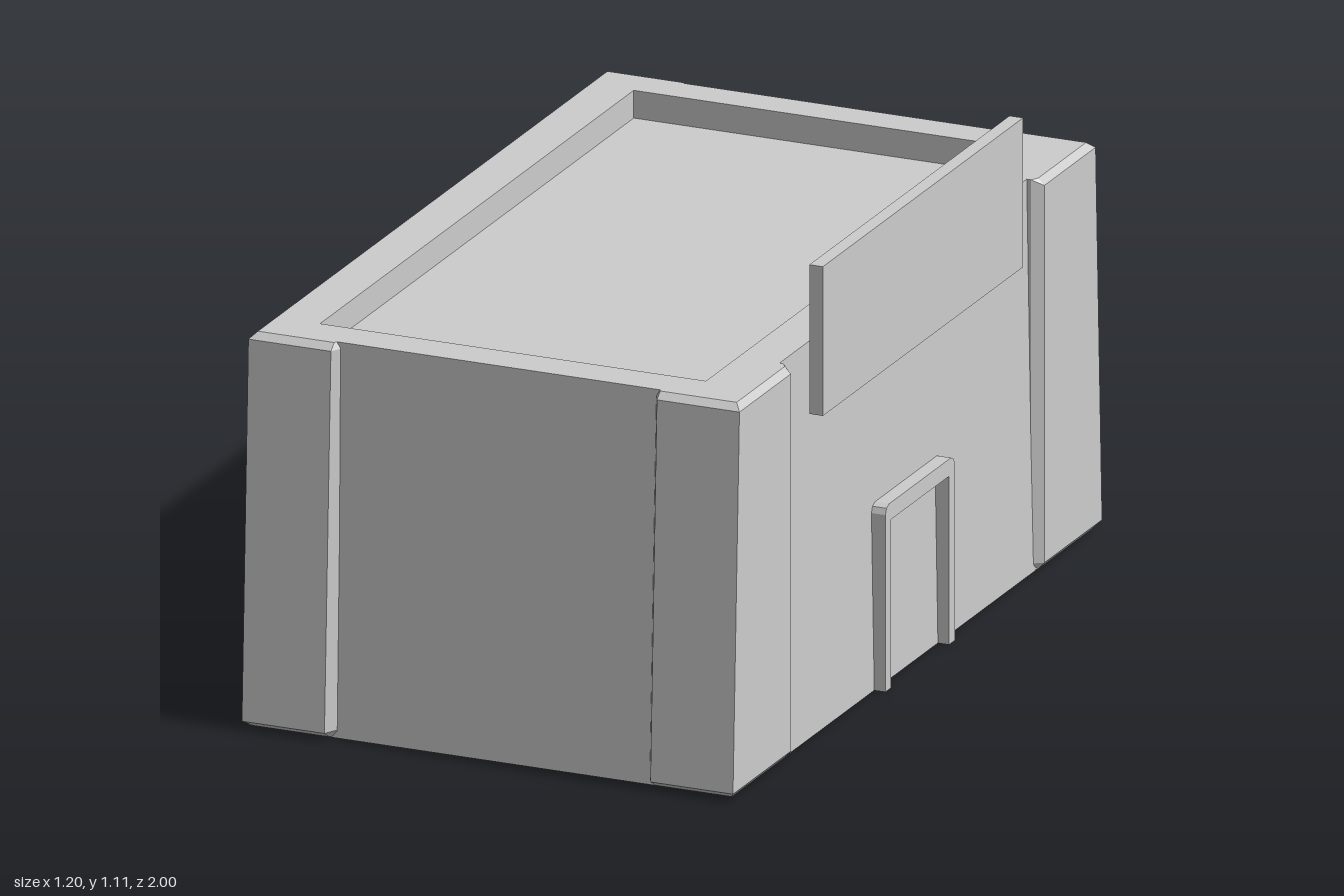
import * as THREE from 'three';

// Joins rings of [x, y, z] points into a flat-shaded solid, capped at both ends.
function loft(rings, flip = false) {
  const pos = [];
  const tri = (a, b, c) => pos.push(...a, ...(flip ? c : b), ...(flip ? b : c));
  const n = rings[0].length;
  for (let r = 0; r < rings.length - 1; r++) {
    for (let i = 0; i < n; i++) {
      const j = (i + 1) % n, lo = rings[r], up = rings[r + 1];
      tri(lo[i], lo[j], up[j]);
      tri(lo[i], up[j], up[i]);
    }
  }
  const first = rings[0], last = rings[rings.length - 1];
  for (let i = 1; i < n - 1; i++) {
    tri(first[0], first[i + 1], first[i]);
    tri(last[0], last[i], last[i + 1]);
  }
  const g = new THREE.BufferGeometry();
  g.setAttribute('position', new THREE.Float32BufferAttribute(pos, 3));
  g.computeVertexNormals();
  return g;
}

const rect = (y, x0, x1, z0, z1) => [[x1, y, z1], [x1, y, z0], [x0, y, z0], [x0, y, z1]];

// One L-shaped corner pier, with bevelled ends, leaning inward on the short sides.
function pierGeometry(sx, sz) {
  const ring = (y, zo, inset) => {
    const xo = 0.595 - inset;
    return [
      [0.535, 0.9], [0.38, 0.9], [0.38, zo - 0.03], [0.395, zo],
      [xo, zo], [xo, 0.687], [0.57, 0.67], [0.535, 0.67],
    ].map(([x, z]) => [-0.005 + sx * x, y, sz * z]);
  };
  return loft([
    ring(0.003, 0.972, 0.015), ring(0.02, 1.0, 0),
    ring(0.905, 0.965, 0), ring(0.92, 0.947, 0.015),
  ], sx * sz < 0);
}

export function createModel() {
  const group = new THREE.Group();
  const plaster = new THREE.MeshStandardMaterial({ color: 0xcccccc });
  plaster.name = 'plaster grey';
  const add = (name, geometry) => {
    const mesh = new THREE.Mesh(geometry, plaster);
    mesh.name = name;
    group.add(mesh);
    return mesh;
  };

  // Tapered walls with parapet and sunken roof
  add('building', loft([
    rect(0, -0.598, 0.57, -0.967, 0.965),
    rect(0.92, -0.585, 0.555, -0.943, 0.94),
    rect(0.92, -0.48, 0.455, -0.855, 0.845),
    rect(0.855, -0.48, 0.455, -0.855, 0.845),
  ]));

  // Corner piers
  for (const sx of [-1, 1]) {
    for (const sz of [-1, 1]) {
      add(`${sz > 0 ? 'front' : 'back'}${sx > 0 ? 'Left' : 'Right'}Pier`, pierGeometry(sx, sz));
    }
  }

  // Door surround with clipped upper corners
  const outline = new THREE.Shape([
    [-0.188, 0], [-0.157, 0], [-0.157, 0.395], [0.157, 0.395], [0.157, 0],
    [0.188, 0], [0.188, 0.415], [0.182, 0.429], [0.168, 0.435],
    [-0.168, 0.435], [-0.182, 0.429], [-0.188, 0.415],
  ].map(([x, y]) => new THREE.Vector2(x, y)));
  const frame = new THREE.ExtrudeGeometry(outline, { depth: 0.045, bevelEnabled: false });
  frame.rotateY(Math.PI / 2);
  add('doorFrame', frame).position.set(0.552, 0, 0.002);

  // Blank sign board above the door
  add('signBoard', new THREE.BoxGeometry(0.033, 0.35, 1.085)).position.set(0.581, 0.932, -0.013);

  return group;
}
